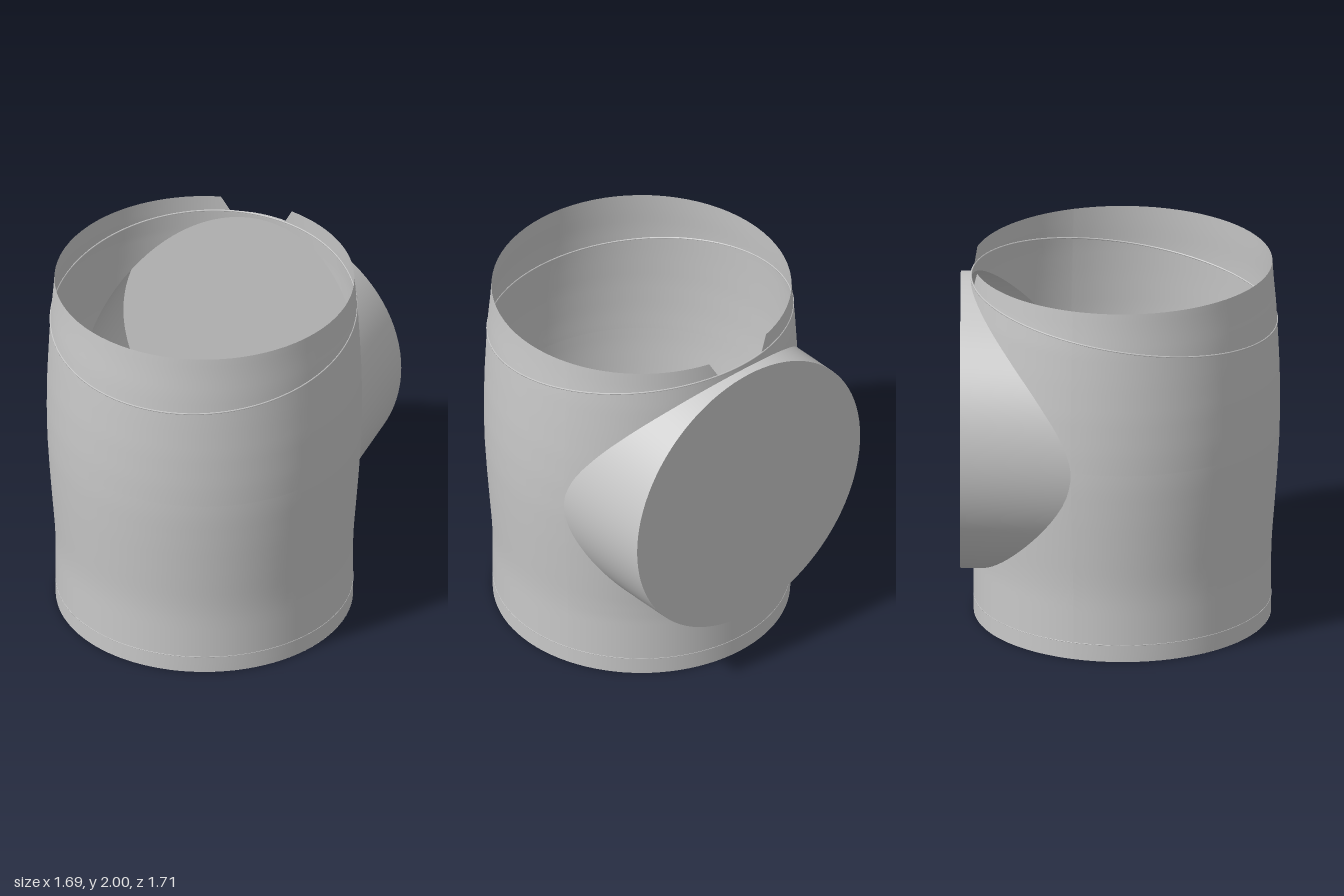
import * as THREE from 'three';

const Z0 = 0.012;                    // axis of the main pipe
const BR = 0.797, BY = 1.085;        // branch radius and axis height
const BACK = -0.855;                 // outer end of the branch
const HEIGHT = 2, N = 48;

// bulging profile of the main pipe: [height, radius]
const PROFILE = [[0, 0.797], [0.35, 0.797], [0.45, 0.802], [0.6, 0.814], [0.8, 0.829], [1.0, 0.841],
  [1.2, 0.845], [1.4, 0.842], [1.6, 0.833], [1.77, 0.823], [1.9, 0.811], [2, 0.804]];

function radius(y) {
  let i = 1;
  while (i < PROFILE.length - 1 && y > PROFILE[i][0]) i++;
  const [y0, r0] = PROFILE[i - 1], [y1, r1] = PROFILE[i];
  return r0 + (r1 - r0) * (y - y0) / (y1 - y0);
}

// angle a is measured from the back (-z) towards +x
const onPipe = (a, y, lift = 0) => {
  const r = radius(y) + lift;
  return new THREE.Vector3(r * Math.sin(a), y, Z0 - r * Math.cos(a));
};
const seamHeight = (a) => 1.787 + 0.125 * Math.cos(a);

// surface through columns of points, given in loops
function loft(columns) {
  const rows = columns[0].length, pos = [], index = [];
  columns.forEach((c) => c.forEach((p) => pos.push(p.x, p.y, p.z)));
  for (let i = 0; i < columns.length - 1; i++) {
    for (let j = 0; j < rows - 1; j++) {
      const a = i * rows + j, b = a + rows;
      index.push(a, a + 1, b, b, a + 1, b + 1);
    }
  }
  const g = new THREE.BufferGeometry();
  g.setAttribute('position', new THREE.Float32BufferAttribute(pos, 3));
  g.setIndex(index);
  g.computeVertexNormals();
  return g;
}

// columns round the pipe: the rim of the branch opening first, then the front
function columnStarts(side) {
  const list = [];
  for (let i = 0; i <= N; i++) {
    const phi = (i / N - 0.5) * Math.PI;
    const y = BY + side * BR * Math.cos(phi);
    list.push([Math.asin(BR * Math.sin(phi) / radius(y)), y]);
  }
  const edge = list[N][0];
  for (let i = 1; i <= N; i++) list.push([edge + (2 * Math.PI - 2 * edge) * i / N, BY]);
  return list;
}

const column = (a, y0, y1, rows) =>
  Array.from({ length: rows + 1 }, (_, j) => onPipe(a, y0 + (y1 - y0) * j / rows));

export function createModel() {
  const group = new THREE.Group();
  const grey = new THREE.MeshStandardMaterial({ color: 0xc8c8c8, side: THREE.DoubleSide });
  grey.name = 'pipe grey';
  const add = (name, geometry) => {
    const mesh = new THREE.Mesh(geometry, grey);
    mesh.name = name;
    group.add(mesh);
    return mesh;
  };

  // main pipe below and above the branch axis
  add('lowerPipe', loft(columnStarts(-1).map(([a, y]) => column(a, 0, y, 20))));
  // the rim is notched down to the seam behind the branch
  add('upperPipe', loft(columnStarts(1).map(([a, y]) =>
    column(a, y, Math.abs(a) < 0.21 ? seamHeight(a) : HEIGHT, 20))));

  // side branch, cut to the main pipe
  const branch = [];
  for (let i = 0; i <= 2 * N; i++) {
    const t = i / N * Math.PI;
    const x = BR * Math.sin(t), y = BY + BR * Math.cos(t);
    const inner = Z0 - Math.sqrt(radius(y) ** 2 - x * x);
    branch.push([new THREE.Vector3(x, y, BACK), new THREE.Vector3(x, y, inner)]);
  }
  add('branchPipe', loft(branch));

  // closing discs
  const cap = add('branchCap', new THREE.CircleGeometry(BR, 2 * N));
  cap.rotation.y = Math.PI;
  cap.position.set(0, BY, BACK);
  const base = add('baseDisc', new THREE.CircleGeometry(radius(0), 2 * N));
  base.rotation.x = Math.PI / 2;
  base.position.z = Z0;

  // fine slanted seam bead and base bead
  const bead = (name, heightAt, size) => {
    const points = Array.from({ length: 48 }, (_, i) => {
      const a = i / 48 * 2 * Math.PI;
      return onPipe(a, heightAt(a));
    });
    add(name, new THREE.TubeGeometry(new THREE.CatmullRomCurve3(points, true), 120, size, 6, true));
  };
  bead('rimSeam', seamHeight, 0.005);
  bead('baseSeam', () => 0.095, 0.002);

  return group;
}
